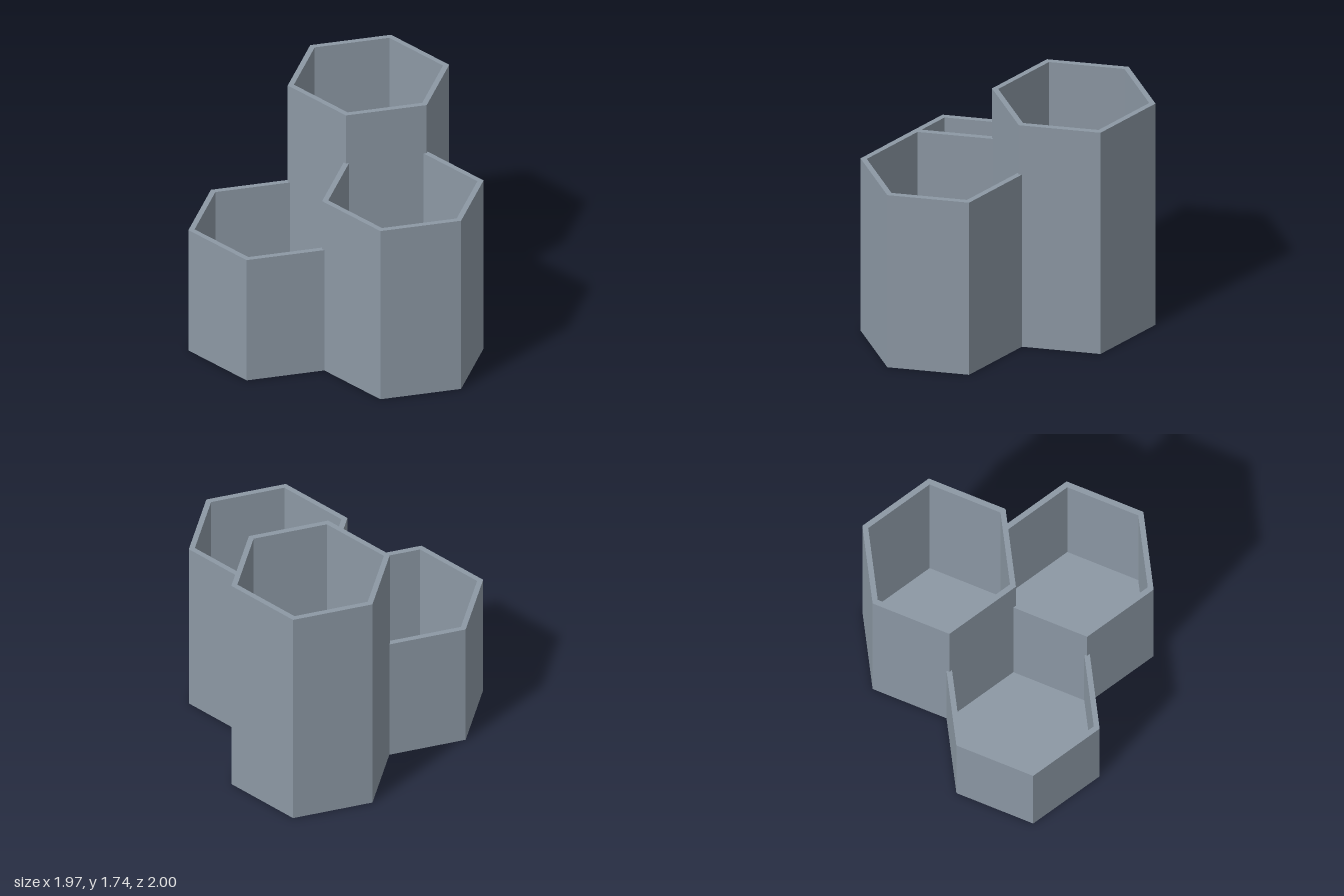
import * as THREE from 'three';

const R = 0.581;                       // outer corner radius
const WALL = 0.0387;                   // wall and floor thickness
const RI = R - WALL / Math.cos(Math.PI / 6);
const PITCH = 2 * R * Math.cos(Math.PI / 6) - WALL; // neighbours share one wall

// Open-topped hexagonal cup, revolved in six flat sides with corners on the z axis
function hexCup(name, height, x, z, material) {
  const profile = [
    [0, 0], [R, 0], [R, height], [RI, height], [RI, WALL], [0, WALL],
  ].map(([r, y]) => new THREE.Vector2(r, y));
  const geometry = new THREE.LatheGeometry(profile, 6).toNonIndexed();
  geometry.computeVertexNormals();
  const cup = new THREE.Mesh(geometry, material);
  cup.name = name;
  cup.position.set(x, 0, z);
  return cup;
}

export function createModel() {
  const group = new THREE.Group();
  group.name = 'hexagonalOrganizer';
  const slate = new THREE.MeshStandardMaterial({ color: 0x8c98a4 });
  slate.name = 'slate grey';

  // Three cups in a honeycomb cluster, stepped in height
  const dz = PITCH * Math.sqrt(3) / 4;
  group.add(
    hexCup('tallBackCup', 1.743, 0, -dz, slate),
    hexCup('mediumLeftCup', 1.356, PITCH / 2, dz, slate),
    hexCup('shortRightCup', 0.97, -PITCH / 2, dz, slate),
  );
  return group;
}
